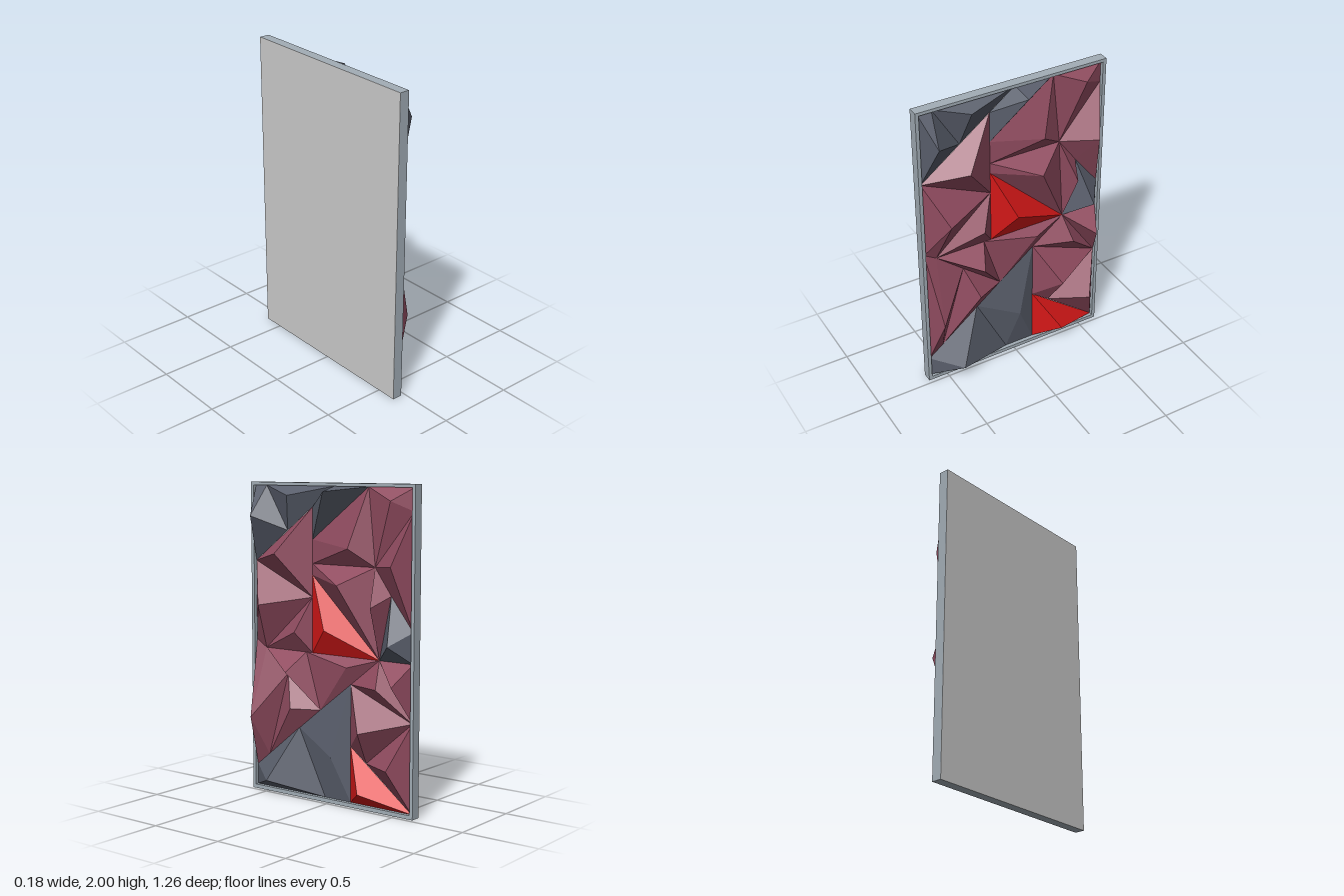
import * as THREE from 'three';

const FLOOR = -0.05; // x of the recessed plane the facets rise from
const TIP = 0.085;   // x of the tallest peaks

// Shared corner points on the recessed plane, as [z, y]
const P = {
  tl: [0.61, 1.98], tA: [0.52, 1.98], tB: [-0.02, 1.98], tC: [-0.28, 1.98], tr: [-0.61, 1.98],
  l1: [0.61, 1.5], l2: [0.61, 0.99], l3: [0.61, 0.16],
  r1: [-0.61, 1.84], r2: [-0.61, 1.13], r3: [-0.61, 0.94], r4: [-0.61, 0.58],
  h1: [0.35, 1.7], m1: [0.15, 1.85], m2: [0.15, 1.65], m3: [0.15, 1.5],
  m4: [0.15, 1.43], m5: [0.15, 1.29], m6: [0.15, 0.94],
  c1: [-0.33, 1.5], c2: [-0.365, 0.94], c3: [-0.15, 0.77], k1: [-0.45, 1.335],
  n1: [0.53, 0.94], n2: [0.2, 0.94], n3: [0.35, 0.79],
  d1: [0.51, 0.24], d2: [0.26, 0.45], d3: [0.09, 0.58],
  e1: [-0.15, 0.38], e2: [-0.27, 0.29],
  bl: [0.61, 0.025], b1: [0.05, 0.025], b2: [-0.15, 0.025], br: [-0.61, 0.025],
};

// Open pyramid over the named corners, with its peak at (height, y, z)
function pyramid(corners, z, y, height = TIP) {
  const ring = corners.split(' ').map((k) => P[k]);
  let area = 0;
  ring.forEach((a, i) => {
    const b = ring[(i + 1) % ring.length];
    area += a[1] * b[0] - b[1] * a[0];
  });
  if (area < 0) ring.reverse();
  const pos = [];
  ring.forEach((a, i) => {
    const b = ring[(i + 1) % ring.length];
    pos.push(FLOOR, a[1], a[0], FLOOR, b[1], b[0], height, y, z);
  });
  const g = new THREE.BufferGeometry();
  g.setAttribute('position', new THREE.Float32BufferAttribute(pos, 3));
  g.computeVertexNormals();
  return g;
}

function rectangle(target, halfWidth, y0, y1) {
  target.moveTo(-halfWidth, y0);
  target.lineTo(halfWidth, y0);
  target.lineTo(halfWidth, y1);
  target.lineTo(-halfWidth, y1);
  target.closePath();
  return target;
}

function material(name, color, side = THREE.FrontSide) {
  const m = new THREE.MeshStandardMaterial({ color, side });
  m.name = name;
  return m;
}

export function createModel() {
  const model = new THREE.Group();
  model.name = 'facetedWallPanel';
  const frameGrey = material('frame grey', 0xa2adb6);
  const backGrey = material('back grey', 0xcccccc);
  const maroon = material('maroon', 0x914c60, THREE.DoubleSide);
  const slate = material('slate', 0x595e6b, THREE.DoubleSide);
  const red = material('red', 0xd61818, THREE.DoubleSide);

  function add(name, geometry, mat) {
    const mesh = new THREE.Mesh(geometry, mat);
    mesh.name = name;
    model.add(mesh);
    return mesh;
  }

  // Thin rim around the recess
  const outline = rectangle(new THREE.Shape(), 0.632, 0, 2);
  outline.holes.push(rectangle(new THREE.Path(), 0.61, 0.025, 1.98));
  const rim = new THREE.ExtrudeGeometry(outline, { depth: 0.063, bevelEnabled: false });
  rim.rotateY(Math.PI / 2);
  add('frame', rim, frameGrey).position.x = -0.088;

  // Back sheet
  add('backSheet', new THREE.BoxGeometry(0.002, 2, 1.264), backGrey).position.set(-0.089, 1, 0);

  // Slate facets
  [
    pyramid('tl tA h1 l1', 0.545, 1.79),
    pyramid('tA tB h1', 0.3, 1.92, 0.02),
    pyramid('m1 tB tC m2', -0.035, 1.95),
    pyramid('k1 r2 r3 c2', -0.515, 1.05),
    pyramid('l3 d2 b1 bl', 0.425, 0.1),
    pyramid('d2 c3 b2 b1', -0.03, 0.3, 0),
  ].forEach((g) => add('slateFacet', g, slate));

  // Red facets
  [
    pyramid('m4 c2 m6', 0, 1.1, 0.03),
    pyramid('e1 br b2', -0.3, 0.125),
  ].forEach((g) => add('redFacet', g, red));

  // Maroon facets, upper half
  [
    pyramid('l1 m1 m5', 0.35, 1.56),
    pyramid('tC tr r1 c1', -0.48, 1.9, 0.01),
    pyramid('r1 r2 k1 c1', -0.535, 1.52),
    pyramid('m2 tC c1 m3', -0.18, 1.61, 0.03),
    pyramid('m3 c1 c2 m4', -0.14, 1.39),
    pyramid('c1 k1 c2', -0.39, 1.27),
    pyramid('l1 m5 n1 l2', 0.485, 1.23),
    pyramid('m5 m6 n1', 0.235, 1.07, 0.03),
  ].forEach((g) => add('upperMaroonFacet', g, maroon));

  // Maroon facets, lower half
  [
    pyramid('l2 n1 n3 d1 l3', 0.555, 0.5),
    pyramid('n3 d3 d1', 0.27, 0.58, 0.03),
    pyramid('n1 n2 d3 n3', 0.265, 0.82),
    pyramid('n2 c2 c3 d3', -0.15, 0.88, 0),
    pyramid('c2 r4 c3', -0.4, 0.775, 0.04),
    pyramid('c2 r3 r4', -0.545, 0.81),
    pyramid('c3 r4 e2 e1', -0.3, 0.5),
    pyramid('e2 r4 br', -0.51, 0.3),
  ].forEach((g) => add('lowerMaroonFacet', g, maroon));

  return model;
}
